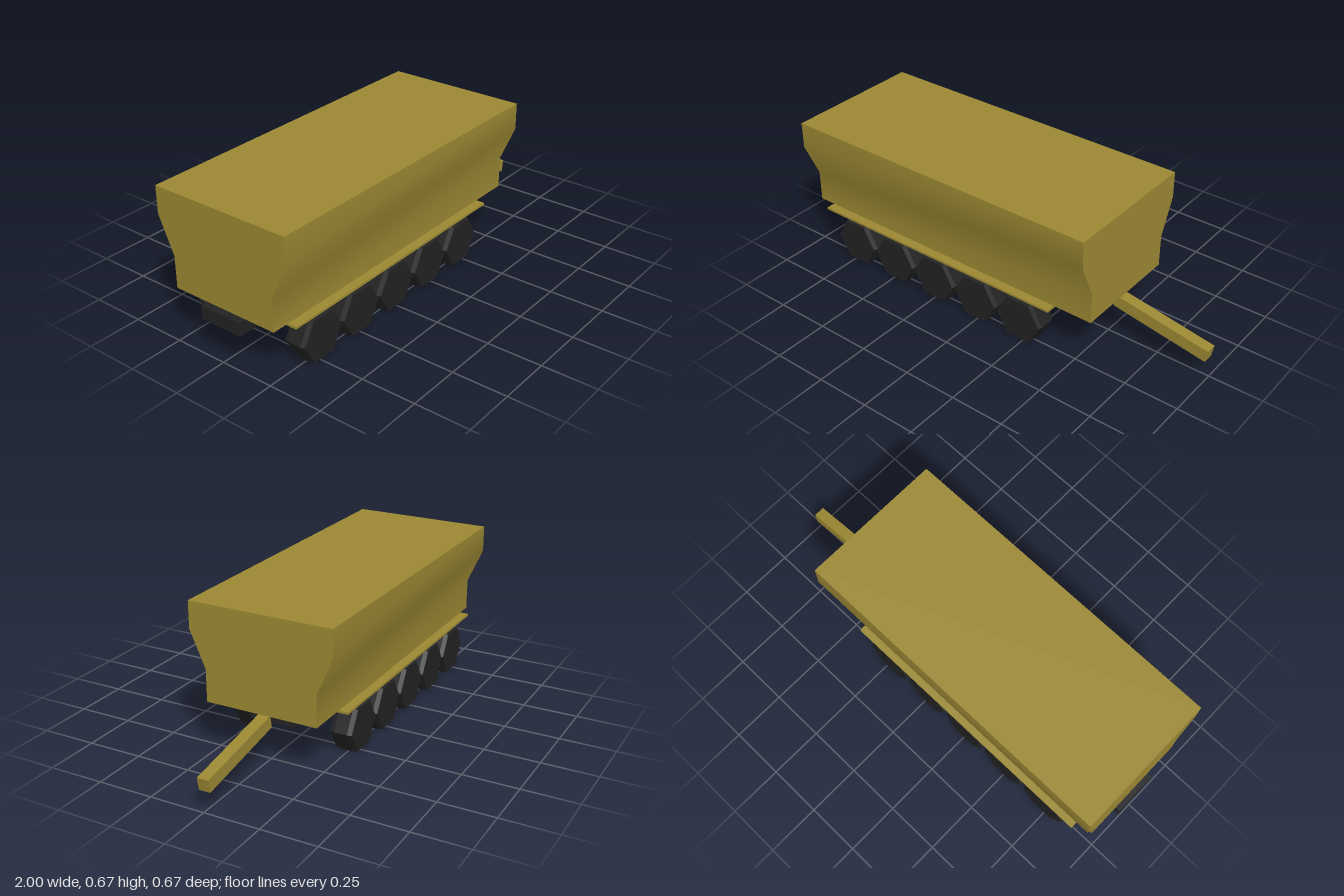
import * as THREE from 'three';
import { toCreasedNormals } from 'three/addons/utils/BufferGeometryUtils.js';

export function createModel() {
  const model = new THREE.Group();
  model.name = 'trailer';

  const olivePaint = new THREE.MeshStandardMaterial({ color: 0x9b8833 });
  olivePaint.name = 'olive paint';
  const black = new THREE.MeshStandardMaterial({ color: 0x222222 });
  black.name = 'black rubber and steel';

  const add = (name, geometry, material, x, y, z) => {
    const mesh = new THREE.Mesh(geometry, material);
    mesh.name = name;
    mesh.position.set(x, y, z);
    model.add(mesh);
    return mesh;
  };

  // Cargo body: cross-section widening upwards, with soft side walls and sharp corners
  const half = [[0.26, 0.235], [0.26, 0.381], [0.333, 0.547], [0.333, 0.67]];
  const section = new THREE.Shape([
    ...half.map(([z, y]) => new THREE.Vector2(z, y)),
    ...half.slice().reverse().map(([z, y]) => new THREE.Vector2(-z, y)),
  ]);
  const bodyGeometry = new THREE.ExtrudeGeometry(section, { depth: 1.554, bevelEnabled: false });
  bodyGeometry.rotateY(Math.PI / 2);
  add('cargoBody', toCreasedNormals(bodyGeometry, 0.6), olivePaint, -0.977, 0, 0);

  // Chassis beam
  add('chassis', new THREE.BoxGeometry(1.492, 0.061, 0.208), black, -0.254, 0.194, 0);

  // Drawbar sloping down to the hitch
  const drawbar = add('drawbar', new THREE.BoxGeometry(0.46, 0.058, 0.052), olivePaint, 0.766, 0.155, 0);
  drawbar.rotation.z = -0.174;

  // Six-sided wheel with chamfered rims, axle along z
  const wheelProfile = [[0, -0.051], [0.111, -0.051], [0.1166, -0.03], [0.1166, 0.03], [0.111, 0.051], [0, 0.051]]
    .map(([r, y]) => new THREE.Vector2(r, y));
  const wheelGeometry = new THREE.LatheGeometry(wheelProfile, 6)
    .rotateY(Math.PI / 6).rotateX(Math.PI / 2).toNonIndexed();
  wheelGeometry.computeVertexNormals();

  const fenderGeometry = new THREE.BoxGeometry(1.29, 0.01, 0.124);
  for (const [side, s] of [['left', 1], ['right', -1]]) {
    // Flat fender above each row of wheels
    add(`${side}Fender`, fenderGeometry, olivePaint, -0.254, 0.2295, s * 0.24);
    for (let i = 0; i < 5; i++) {
      add(`${side}Wheel${i + 1}`, wheelGeometry, black, -0.731 + i * 0.2387, 0.101, s * 0.24);
    }
  }
  return model;
}
